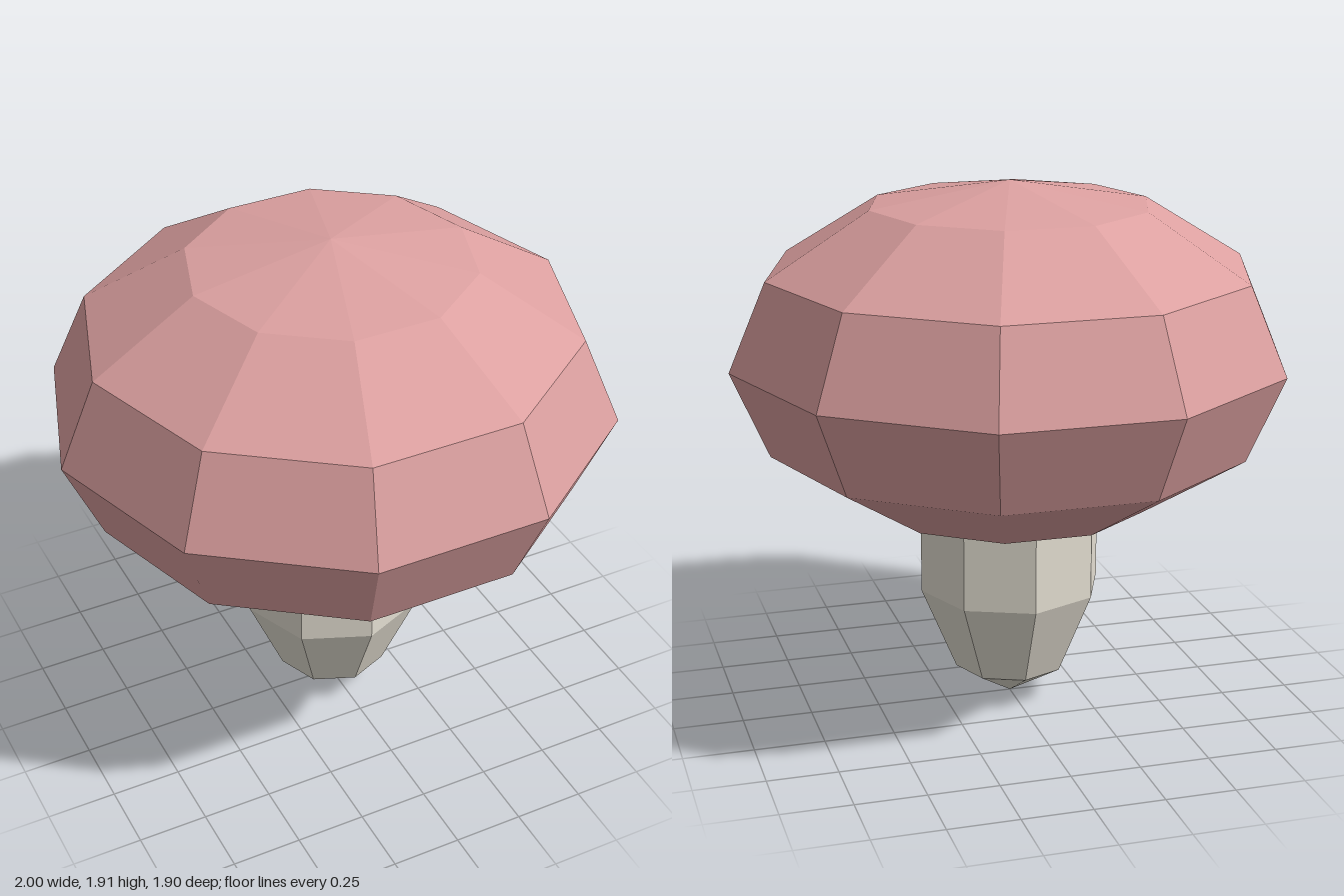
import * as THREE from 'three';

const capPink = new THREE.MeshStandardMaterial({ color: 0xdca0a0, flatShading: true });
capPink.name = 'dusty pink';
const stemCream = new THREE.MeshStandardMaterial({ color: 0xe4dfd2, flatShading: true });
stemCream.name = 'pale cream';

export function createModel() {
  const group = new THREE.Group();
  group.name = 'mushroom';

  // Squashed low-poly ball for the cap
  const cap = new THREE.Mesh(new THREE.SphereGeometry(1, 10, 6).scale(1, 0.62, 1), capPink);
  cap.name = 'cap';
  cap.position.y = 1.295;
  group.add(cap);

  // Eight-sided stem with a pointed foot, its upper end hidden inside the cap
  const profile = [[0, 0], [0.205, 0.122], [0.333, 0.43], [0.333, 0.85], [0, 0.9]]
    .map(([r, y]) => new THREE.Vector2(r, y));
  const stem = new THREE.Mesh(new THREE.LatheGeometry(profile, 8), stemCream);
  stem.name = 'stem';
  group.add(stem);

  return group;
}
